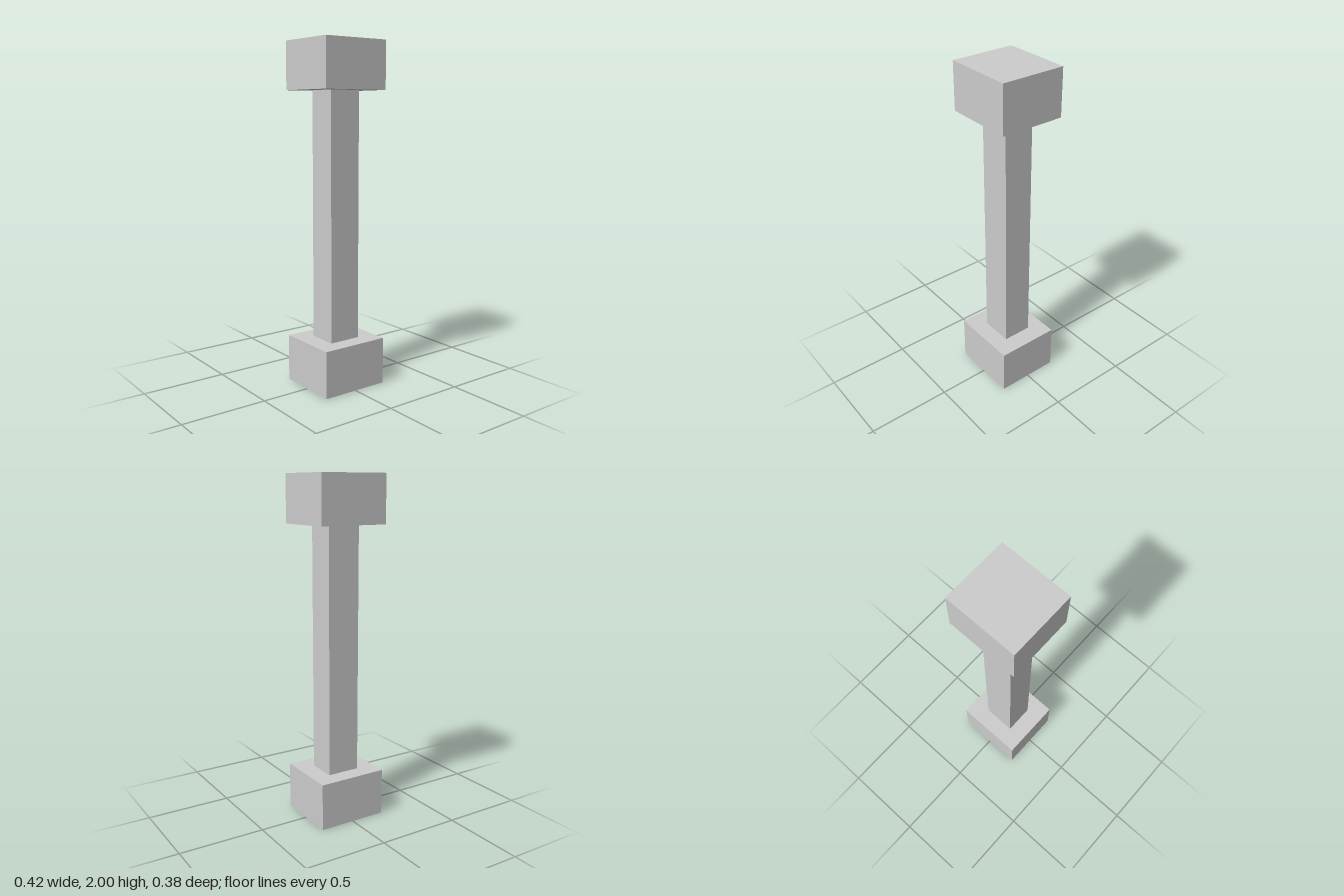
import * as THREE from 'three';

export function createModel() {
  const model = new THREE.Group();
  model.name = 'pillar';
  const material = new THREE.MeshStandardMaterial({ color: 0xcccccc, flatShading: true });

  // Adds a box standing between two heights on the central axis
  const addBlock = (name, width, depth, bottom, top) => {
    const mesh = new THREE.Mesh(new THREE.BoxGeometry(width, top - bottom, depth), material);
    mesh.position.y = (bottom + top) / 2;
    mesh.name = name;
    model.add(mesh);
  };

  const blockHeight = 0.276;
  addBlock('base', 0.416, 0.382, 0, blockHeight);
  addBlock('shaft', 0.196, 0.178, blockHeight, 2 - blockHeight);
  addBlock('capital', 0.416, 0.382, 2 - blockHeight, 2);

  return model;
}
